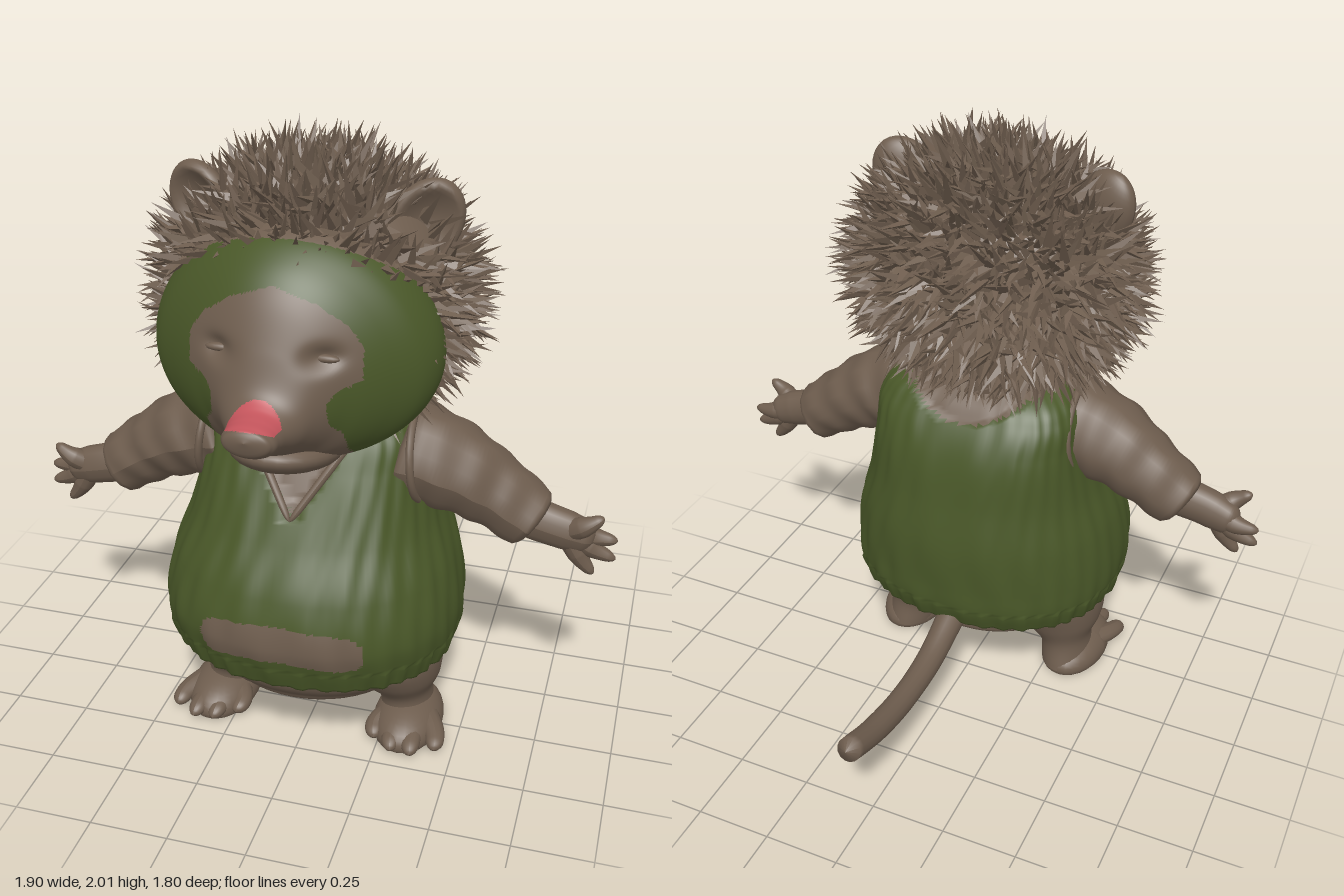
import * as THREE from 'three';
import { mergeGeometries } from 'three/addons/utils/BufferGeometryUtils.js';

const mat = (name, color) => Object.assign(new THREE.MeshStandardMaterial({ color }), { name });
const V = (x, y, z) => new THREE.Vector3(x, y, z);

// Smooth lookup in a table of rows [key, a, b, ...]
function smooth(rows) {
  const n = rows[0].length - 1;
  const f = new THREE.CubicInterpolant(rows.map(r => r[0]), rows.flatMap(r => r.slice(1)), n);
  return k => Array.from(f.evaluate(k));
}
function lerpTable(rows, k) {
  let i = 0;
  while (i < rows.length - 2 && k > rows[i + 1][0]) i++;
  const [a, b] = [rows[i], rows[i + 1]];
  return a[1] + (b[1] - a[1]) * THREE.MathUtils.clamp((k - a[0]) / (b[0] - a[0]), 0, 1);
}

// Closed rings from key k0 to k1; classify picks a material index per triangle
function loft(k0, k1, rows, cols, ring, classify) {
  const pos = [], idx = [[], [], []];
  for (let i = 0; i <= rows; i++)
    for (let j = 0; j < cols; j++)
      pos.push(...ring(k0 + (k1 - k0) * i / rows, j / cols * Math.PI * 2, i));
  const add = (...t) => {
    const c = [0, 1, 2].map(d => t.reduce((s, v) => s + pos[v * 3 + d], 0) / 3);
    idx[classify ? classify(...c) : 0].push(...t);
  };
  for (let i = 0; i < rows; i++)
    for (let j = 0; j < cols; j++) {
      const a = i * cols + j, b = i * cols + (j + 1) % cols;
      add(a, a + cols, b);
      add(b, a + cols, b + cols);
    }
  const g = new THREE.BufferGeometry();
  g.setAttribute('position', new THREE.Float32BufferAttribute(pos, 3));
  g.setIndex(idx.flat());
  let start = 0;
  idx.forEach((l, m) => { if (l.length) g.addGroup(start, l.length, m); start += l.length; });
  g.computeVertexNormals();
  return g;
}

// Rounded, tapering tube through points
function limb(points, radii, flat = [1, 1, 1], wrinkle = 0, round = 0.15) {
  const curve = new THREE.CatmullRomCurve3(points), seg = 40, sides = 14;
  const g = new THREE.TubeGeometry(curve, seg, 1, sides);
  const p = g.attributes.position, v = V(), f = V(...flat);
  for (let i = 0; i <= seg; i++) {
    const t = i / seg, c = curve.getPointAt(t), k = t * (radii.length - 1);
    const m = Math.min(Math.floor(k), radii.length - 2);
    const e = Math.max(0, 1 - Math.min(t, 1 - t) / round);
    const r = (radii[m] + (radii[m + 1] - radii[m]) * (k - m)) * Math.sqrt(1 - e * e * 0.9999);
    for (let j = 0; j <= sides; j++) {
      const n = i * (sides + 1) + j, a = j / sides * Math.PI * 2;
      v.fromBufferAttribute(p, n).sub(c).multiply(f)
        .multiplyScalar(r * (1 + wrinkle * Math.sin(t * 26 + 2 * Math.sin(a * 2)))).add(c);
      p.setXYZ(n, v.x, v.y, v.z);
    }
  }
  g.computeVertexNormals();
  return g;
}
const blob = (r, c, w = 28, h = 20) => new THREE.SphereGeometry(1, w, h).scale(...r).translate(...c);

export function createModel() {
  const brown = mat('brown fur', 0x6e5d4e), green = mat('green knit', 0x495728), pink = mat('pink nose', 0xc2545b);
  const model = new THREE.Group();
  const add = (name, geo, m = brown) => {
    const mesh = new THREE.Mesh(geo, m);
    mesh.name = name;
    model.add(mesh);
  };

  // Belly and hips: y, half width, front z, back z
  const hips = smooth([[0.17, 0.001, 0.221, 0.219], [0.185, 0.18, 0.4, 0.05], [0.25, 0.35, 0.54, -0.06],
    [0.34, 0.42, 0.6, -0.12], [0.45, 0.4, 0.58, -0.1]]);
  add('belly', loft(0.17, 0.45, 40, 48, (y, a) => {
    const [w, f, b] = hips(y);
    return [w * Math.cos(a), y, (f + b) / 2 + (f - b) / 2 * Math.sin(a)];
  }));

  // Knitted vest with V neck, scooped back and patch; the last value sets how boxy the section is
  const vest = smooth([[0.338, 0.455, 0.63, -0.17, 0.88], [0.41, 0.475, 0.655, -0.195, 0.88], [0.5, 0.48, 0.675, -0.2, 0.88],
    [0.65, 0.455, 0.64, -0.2, 0.88], [0.8, 0.4, 0.56, -0.175, 0.82], [1.0, 0.355, 0.455, -0.13, 0.68],
    [1.1, 0.342, 0.4, -0.075, 0.64], [1.16, 0.3, 0.36, -0.02, 0.68], [1.2, 0.21, 0.31, 0.06, 0.8], [1.23, 0.03, 0.22, 0.18, 1]]);
  const neck = (x, y, z) => z > 0.2 ? Math.abs(x) < (y - 0.87) * 0.68
    : y > 1.085 + 2 * x * x && Math.abs(x) < 0.22;
  const patch = (x, y, z) => z > 0.3
    && Math.hypot(Math.max(0, Math.abs(x) - 0.2), y - 0.51 - 0.01 * Math.cos(x * 12)) < 0.062;
  const vestPoint = (y, a, i) => {
    const [w, f, b, box] = vest(y), c = Math.cos(a), s = Math.sin(a);
    const fold = 0.006 * Math.sin(a * 26 + Math.sin(y * 8)) * Math.sin(y * 13 + a * 7)
      + (y < 0.42 ? 0.008 * Math.sin(a * 44) : 0);
    const e = t => Math.sign(t) * Math.abs(t) ** box;
    const x = w * e(c), mid = (f + b) / 2, z = mid + (f - b) / 2 * e(s);
    const k = (i === 0 ? 0.86 : 1) + fold * 1.6 - (neck(x, y, z) ? 0.05 : 0);
    return [x * k, y, mid + (z - mid) * k];
  };
  add('vest', loft(0.338, 1.23, 115, 160, vestPoint,
    (x, y, z) => neck(x, y, z) || patch(x, y, z) ? 0 : 1), [brown, green]);
  const frontZ = (x, y) => {
    const [w, f, b, box] = vest(y);
    return (f + b) / 2 + (f - b) / 2 * (1 - Math.abs(x / w) ** (2 / box)) ** (box / 2);
  };
  for (const s of [-1, 1])
    add('neckTrim', limb([0, 0.06, 0.12, 0.185].map(x => V(s * x, 0.87 + x / 0.68, frontZ(x, 0.87 + x / 0.68))),
      [0.011, 0.013, 0.013]));

  // Face and hood along z: half width, top y, bottom y
  const face = smooth([[0.3, 0.4, 1.76, 1.14], [0.4, 0.435, 1.79, 1.1], [0.5, 0.4, 1.765, 1.09], [0.57, 0.325, 1.72, 1.11],
    [0.62, 0.262, 1.67, 1.135], [0.66, 0.205, 1.61, 1.165], [0.71, 0.145, 1.5, 1.19], [0.75, 0.11, 1.405, 1.21],
    [0.79, 0.088, 1.368, 1.228], [0.83, 0.078, 1.357, 1.245], [0.87, 0.07, 1.35, 1.262], [0.89, 0.047, 1.34, 1.285],
    [0.898, 0.002, 1.32, 1.318]]);
  const opening = [[1.05, 0.2], [1.25, 0.2], [1.29, 0.17], [1.36, 0.165], [1.39, 0.19], [1.41, 0.25], [1.5, 0.25],
    [1.56, 0.21], [1.62, 0.12], [1.66, 0]];
  const furEdge = y => 0.4 + Math.max(0, y - 1.6) * 0.9;
  add('face', loft(0.3, 0.898, 140, 140, (z, a) => {
    const [w, t, b] = face(z);
    const y = (t + b) / 2 - (t - b) / 2 * Math.sin(a);
    const x = w * Math.cos(a) * (1 - 0.3 * (y - 1.4)); // fuller cheeks, narrower brow
    const socket = z > 0.5 ? 0.03 * Math.exp(-(((Math.abs(x) - 0.15) / 0.045) ** 2) - ((y - 1.48) / 0.03) ** 2) : 0;
    return [x, y, z - socket];
  }, (x, y, z) => {
    if (Math.hypot(x / 0.08, (z - 0.825) / 0.06) < 1 && y > 1.325) return 2;
    return z < furEdge(y) - 0.02 || (z > 0.45 && Math.abs(x) < lerpTable(opening, y)) ? 0 : 1;
  }), [brown, green, pink]);
  add('jaw', blob([0.165, 0.066, 0.215], [0, 0, 0]).rotateX(-0.22).translate(0, 1.135, 0.53));
  for (const s of [-1, 1]) {
    add('eyelid', blob([0.04, 0.012, 0.014], [s * 0.152, 1.475, 0.65], 14, 10));
    for (const x of [0.04, 0.085]) // small teeth under the upper lip
      add('tooth', new THREE.ConeGeometry(0.011, 0.03, 6).rotateX(Math.PI).translate(s * x, 1.195, 0.71 - x * 0.5));
  }

  // Scalp and quills
  const C = V(0, 1.51, 0.22), R = V(0.43, 0.365, 0.335);
  add('scalp', blob(R.toArray(), C.toArray(), 40, 28));
  add('neck', new THREE.CylinderGeometry(0.22, 0.2, 0.12, 32).translate(0, 1.18, 0.2));
  let seed = 7;
  const rnd = () => (seed = (seed * 16807) % 2147483647) / 2147483647;
  const quills = [], N = 4200, up = V(0, 1, 0), q = new THREE.Quaternion();
  for (let i = 0; i < N; i++) {
    const h = 1 - 2 * (i + 0.5) / N, a = i * 2.39996, r = Math.sqrt(1 - h * h);
    const n = V(r * Math.cos(a), h, r * Math.sin(a));
    const p = n.clone().multiply(R).add(C);
    const nearEar = Math.hypot(Math.abs(p.x) - 0.31, p.y - 1.74, p.z - 0.32) < 0.07;
    if (p.y < 1.19 || p.z > furEdge(p.y) || nearEar) continue;
    const len = 0.055 + 0.1 * rnd() ** 1.5;
    const dir = n.divide(R).normalize().add(V(rnd() - 0.5, rnd() - 0.5, rnd() - 0.6).multiplyScalar(1.3)).normalize();
    const cone = new THREE.ConeGeometry(0.021, len + 0.02, 3, 1, true).rotateY(rnd() * 6).translate(0, len / 2 - 0.01, 0);
    quills.push(cone.applyQuaternion(q.setFromUnitVectors(up, dir)).translate(p.x, p.y, p.z).toNonIndexed());
  }
  const coat = mergeGeometries(quills);
  coat.computeVertexNormals();
  add('quills', coat);

  // Curved tail
  add('tail', limb([V(0, 0.38, 0), V(0, 0.34, -0.13), V(0, 0.28, -0.32), V(0, 0.275, -0.52), V(0, 0.315, -0.72), V(0, 0.385, -0.9)],
    [0.055, 0.046, 0.042, 0.042, 0.04], [1, 1, 1], 0, 0.03));

  const leg = smooth([[0.02, 0.09, 0.315, 0.34, 0.075], [0.12, 0.093, 0.3, 0.33, 0.09], [0.2, 0.15, 0.27, 0.39, 0.06],
    [0.28, 0.18, 0.245, 0.43, 0.03], [0.36, 0.16, 0.25, 0.42, 0.02]]);
  for (const s of [-1, 1]) {
    // Cupped ear
    const ear = new THREE.SphereGeometry(1, 28, 20), e = ear.attributes.position;
    for (let i = 0; i < e.count; i++) {
      const d = Math.hypot(e.getX(i), e.getY(i));
      if (e.getZ(i) > 0) e.setZ(i, e.getZ(i) - 1.25 * Math.max(0, 1 - (d / 0.85) ** 2));
    }
    ear.computeVertexNormals();
    add('ear', ear.scale(0.105, 0.135, 0.055).rotateZ(-s * 0.5).rotateY(s * 0.3).translate(s * 0.335, 1.752, 0.265));

    // Armhole rim, sleeve, hand and fingers
    add('armholeRim', new THREE.TorusGeometry(0.155, 0.012, 10, 40).scale(1.15, 1, 1).rotateY(Math.PI / 2)
      .rotateZ(s * 0.1).translate(s * 0.335, 1.01, 0.21));
    add('sleeve', limb([V(s * 0.26, 1.02, 0.215), V(s * 0.42, 0.97, 0.21), V(s * 0.56, 0.895, 0.2), V(s * 0.7, 0.8, 0.2)],
      [0.165, 0.145, 0.117, 0.1], [1, 1, 1.05], 0.03, 0.05));
    add('hand', limb([V(s * 0.62, 0.83, 0.2), V(s * 0.75, 0.802, 0.21), V(s * 0.88, 0.765, 0.2)],
      [0.07, 0.07, 0.066, 0.05], [1, 1, 0.8]));
    for (const [x, y, z] of [[0.905, 0.868, 0.24], [0.95, 0.765, 0.19], [0.948, 0.705, 0.2], [0.885, 0.648, 0.21]])
      add('finger', limb([V(s * 0.79, 0.79, 0.21), V(s * (x * 0.55 + 0.355), y * 0.6 + 0.31, z), V(s * x, y, z)],
        [0.038, 0.033, 0.013]));

    // Leg, foot and toes
    add('leg', loft(0.02, 0.36, 24, 32, (y, a) => {
      const [w, x, f, b] = leg(y);
      return [s * x + w * Math.cos(a), y, (f + b) / 2 + (f - b) / 2 * Math.sin(a)];
    }));
    const foot = blob([0.115, 0.085, 0.185], [s * 0.325, 0.02, 0.26]), fp = foot.attributes.position;
    for (let i = 0; i < fp.count; i++) fp.setY(i, Math.max(0, fp.getY(i)));
    foot.computeVertexNormals();
    add('foot', foot);
    for (const [x, z] of [[0.235, 0.41], [0.3, 0.46], [0.365, 0.465], [0.435, 0.42]])
      add('toe', limb([V(s * (0.2 + x * 0.4), 0.05, 0.25), V(s * x, 0.038, z - 0.06), V(s * x * 1.02, 0.024, z)],
        [0.044, 0.037, 0.026], [1, 0.8, 1], 0, 0.2));
  }
  return model;
}
